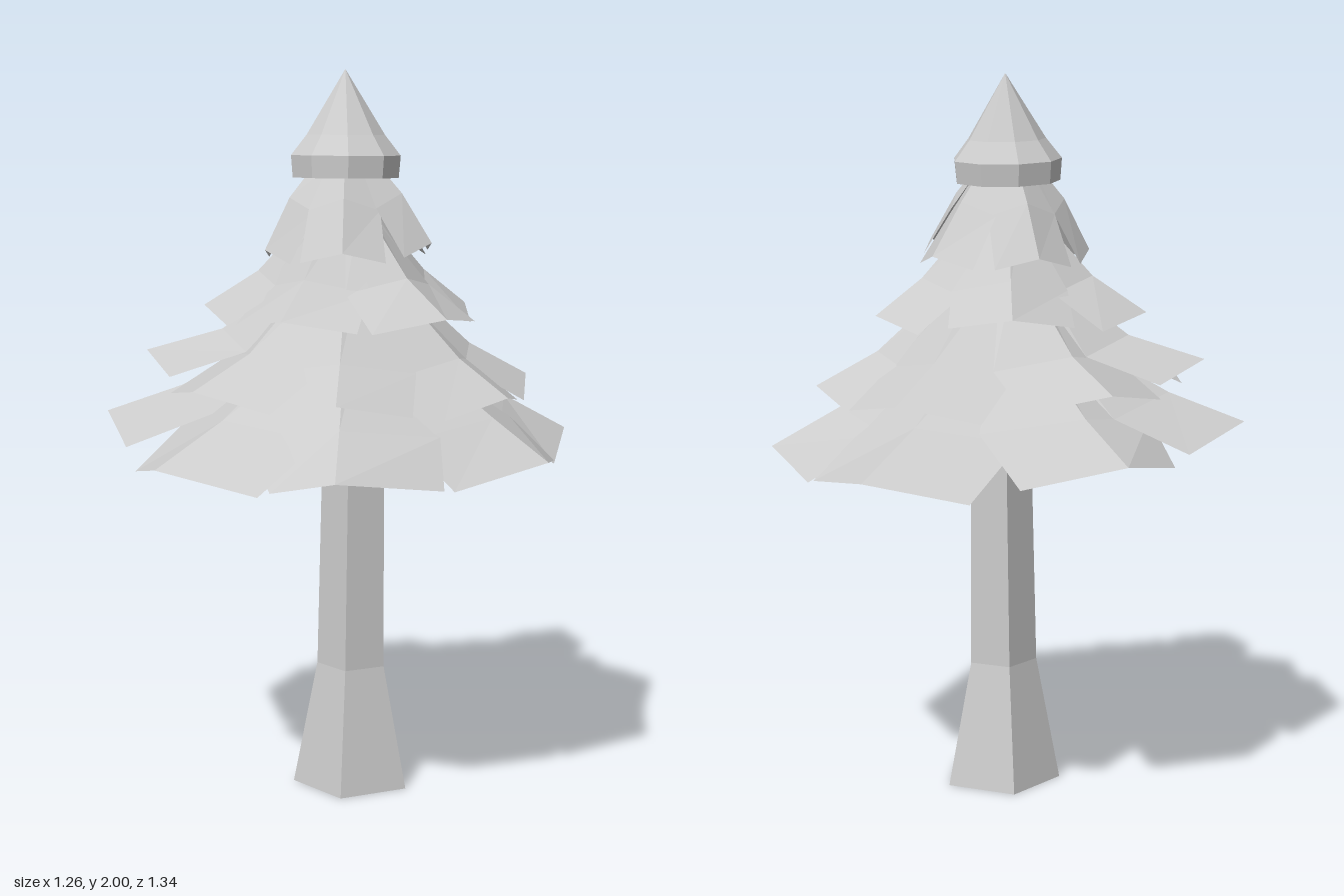
import * as THREE from 'three';

const mat = new THREE.MeshStandardMaterial({ color: 0xcccccc, flatShading: true, side: THREE.DoubleSide });
const rad = THREE.MathUtils.degToRad;

function indexedGeometry(pos, idx) {
  const g = new THREE.BufferGeometry();
  g.setAttribute('position', new THREE.Float32BufferAttribute(pos, 3));
  g.setIndex(idx);
  g.computeVertexNormals();
  return g;
}

// Open faceted shell through horizontal rings [x, y, z, radius]
function ringShell(rings, sides, turn) {
  const pos = [], idx = [];
  for (const [x, y, z, r] of rings)
    for (let i = 0; i < sides; i++) {
      const a = turn + (i / sides) * Math.PI * 2;
      pos.push(x + r * Math.sin(a), y, z + r * Math.cos(a));
    }
  for (let k = 0; k < rings.length - 1; k++)
    for (let i = 0; i < sides; i++) {
      const j = (i + 1) % sides, a = k * sides;
      idx.push(a + i, a + j, a + sides + j, a + i, a + sides + j, a + sides + i);
    }
  return indexedGeometry(pos, idx);
}

// Ridged bough: three rows (trunk, middle, rim) of side, ridge, side points.
// It is widest in the middle, so neighbours overlap behind the rim.
function boughGeometry(tier, leaf) {
  const [a, r, y, a1 = a + tier.span, r1 = r * 0.93, a0 = a - tier.span, r0 = r * 0.93] = leaf;
  const [cx, cz] = tier.center, [mr, my] = tier.mid, [tr, ty] = tier.top;
  const lift = (y - tier.rimY) * 0.6, wide = tier.span + 11;
  const rows = [
    [[a - wide, tr, ty - 0.02], [a, tr, ty], [a + wide, tr, ty - 0.02]],
    [[a - wide, mr * 0.95, my + lift - 0.035], [a, mr, my + lift], [a + wide, mr * 0.95, my + lift - 0.035]],
    [[a0, r0, y - tier.drop], [a, r, y], [a1, r1, y - tier.drop]],
  ];
  const pos = [], idx = [];
  for (const row of rows)
    for (const [ang, d, h] of row) pos.push(cx + d * Math.cos(rad(ang)), h, cz + d * Math.sin(rad(ang)));
  for (let k = 0; k < 2; k++)
    for (let i = 0; i < 2; i++) {
      const p = k * 3 + i;
      idx.push(p, p + 1, p + 4, p, p + 4, p + 3);
    }
  return indexedGeometry(pos, idx);
}

// Boughs: [ridge angle, length, rim height, then optional side corners as angle, length pairs]
const tiers = [
  {
    name: 'bottomTier', center: [0.04, 0.02], top: [0.08, 1.34], mid: [0.46, 1.1], rimY: 1.0, span: 25, drop: 0.045,
    boughs: [
      [-77, 0.71, 0.99, -53, 0.62, -100, 0.66], [-135, 0.68, 1.03, -111, 0.67, -157, 0.59],
      [175, 0.67, 1.065, 201, 0.62, 148, 0.65], [129, 0.69, 1.0, 147, 0.63, 104, 0.64],
      [86, 0.65, 1.0, 103, 0.585, 58, 0.575], [27, 0.63, 0.995, 55, 0.575, 3, 0.57],
      [-25, 0.65, 0.985, 3, 0.57, -52, 0.63],
    ],
  },
  {
    name: 'lowerMiddleTier', center: [0.04, 0.01], top: [0.07, 1.5], mid: [0.35, 1.25], rimY: 1.16, span: 25, drop: 0.04,
    boughs: [
      [-76, 0.53, 1.16], [-139, 0.54, 1.19], [175, 0.56, 1.235], [132, 0.54, 1.18],
      [87, 0.49, 1.165], [26, 0.5, 1.15], [-23, 0.52, 1.15],
    ],
  },
  {
    name: 'upperMiddleTier', center: [0.03, 0.01], top: [0.06, 1.65], mid: [0.24, 1.45], rimY: 1.35, span: 32, drop: 0.03,
    boughs: [[40, 0.39, 1.36], [110, 0.37, 1.36], [176, 0.39, 1.36], [250, 0.34, 1.37], [-32, 0.37, 1.35]],
  },
  {
    name: 'topTier', center: [0.03, 0.005], top: [0.07, 1.77], mid: [0.16, 1.66], rimY: 1.52, span: 28, drop: 0.03,
    boughs: [[85, 0.26, 1.53], [155, 0.23, 1.52], [232, 0.25, 1.52], [302, 0.26, 1.52], [12, 0.245, 1.54]],
  },
];

export function createModel() {
  const model = new THREE.Group();
  const add = (parent, name, geometry) => {
    const mesh = new THREE.Mesh(geometry, mat);
    mesh.name = name;
    parent.add(mesh);
    return mesh;
  };

  // Five-sided trunk with a flared foot
  add(model, 'trunk', ringShell([
    [0.054, 0, 0.018, 0.17], [0.053, 0.35, 0.025, 0.1], [0.06, 1.05, 0.025, 0.09],
  ], 5, rad(-5)));

  // Tiers of overlapping boughs
  for (const tier of tiers) {
    const group = new THREE.Group();
    group.name = tier.name;
    tier.boughs.forEach((leaf, i) => add(group, `bough${i + 1}`, boughGeometry(tier, leaf)));
    model.add(group);
  }

  // Pointed crown with a vertical rim, slightly tilted
  const crown = add(model, 'crown', ringShell([
    [0, -0.06, 0, 0.146], [0, 0, 0, 0.151], [0, 0.055, 0, 0.108], [-0.003, 0.23, -0.01, 0.001],
  ], 9, rad(10)));
  crown.position.set(0.028, 1.77, 0);
  crown.rotation.x = -0.05;
  return model;
}
